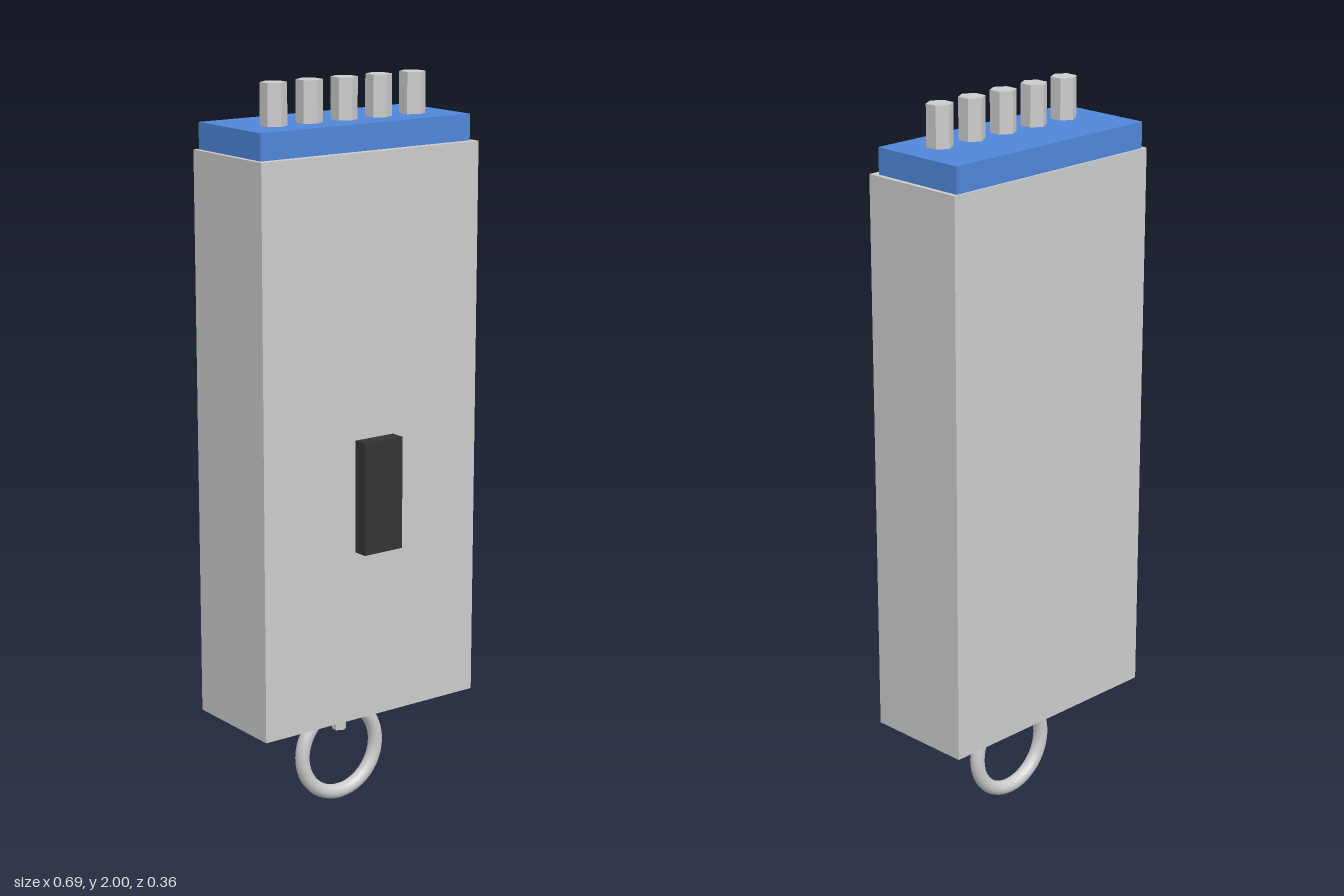
import * as THREE from 'three';

const material = (color, flatShading = false) => new THREE.MeshStandardMaterial({ color, flatShading });

export function createModel() {
  const model = new THREE.Group();
  const grey = material(0xcccccc);
  const greyFlat = material(0xcccccc, true);
  const blue = material(0x4f86d9);
  const black = material(0x333333);

  const add = (name, geometry, mat, x, y, z) => {
    const mesh = new THREE.Mesh(geometry, mat);
    mesh.name = name;
    mesh.position.set(x, y, z);
    model.add(mesh);
  };

  // Flat slab housing and the blue connector cap on top
  add('body', new THREE.BoxGeometry(0.694, 1.53, 0.306), grey, 0, 1.055, -0.026);
  add('cap', new THREE.BoxGeometry(0.668, 0.07, 0.279), blue, 0, 1.855, -0.0335);

  // Switch hovering just off the front face
  add('switch', new THREE.BoxGeometry(0.123, 0.305, 0.042), black, 0, 0.9175, 0.156);

  // Row of hexagonal pins
  const pinGeometry = new THREE.CylinderGeometry(0.035, 0.035, 0.12, 6);
  for (let i = -2; i <= 2; i++) {
    add(`pin${i + 3}`, pinGeometry, greyFlat, i * 0.111, 1.94, 0.002);
  }

  // Hanging ring and its short post under the housing
  add('ring', new THREE.TorusGeometry(0.125, 0.02, 16, 48), grey, 0, 0.145, -0.022);
  add('ringPost', new THREE.CylinderGeometry(0.02, 0.02, 0.09, 6), greyFlat, 0, 0.25, -0.022);

  return model;
}
